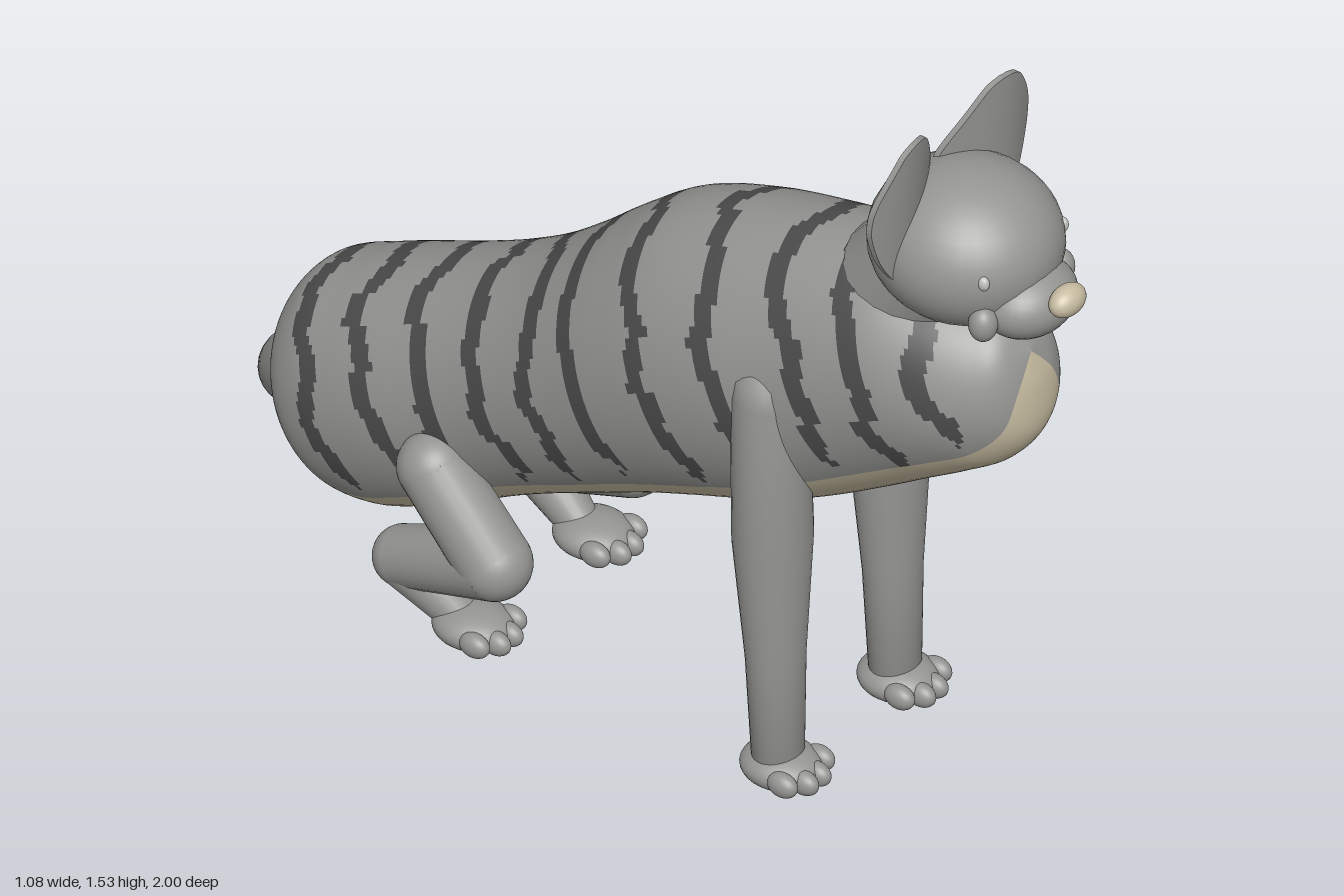
import * as THREE from 'three';

const V = (x, y, z) => new THREE.Vector3(x, y, z);
const CX = -0.27; // the animal's own centre line

const mat = (name, color) => Object.assign(new THREE.MeshStandardMaterial({ color }), { name });

export function createModel() {
  const model = new THREE.Group();
  model.name = 'cat';
  const fur = mat('grey fur', 0x959593);
  const stripe = mat('dark stripe', 0x4b4b4b);
  const cream = mat('cream', 0xc8bda2);
  const eyeMat = mat('pale eye', 0xc0c0bc);

  const add = (parent, name, geo, material) => {
    const m = new THREE.Mesh(geo, material);
    m.name = name;
    parent.add(m);
    return m;
  };
  const ball = (parent, name, pos, radii, material = fur) => {
    const m = add(parent, name, new THREE.SphereGeometry(1, 32, 20), material);
    m.position.copy(pos);
    m.scale.set(...radii);
    return m;
  };
  // Tapered cylinder between two points
  const bone = (parent, name, a, b, ra, rb) => {
    const m = add(parent, name, new THREE.CylinderGeometry(rb, ra, a.distanceTo(b), 24, 1), fur);
    m.position.copy(a).lerp(b, 0.5);
    m.quaternion.setFromUnitVectors(V(0, 1, 0), b.clone().sub(a).normalize());
  };

  add(model, 'body', bodyGeometry(), [fur, stripe, cream]);

  // Neck and head
  bone(model, 'neck', V(CX, 1.09, 0.6), V(CX, 1.23, 0.72), 0.13, 0.13);
  const head = new THREE.Group();
  head.name = 'head';
  model.add(head);
  ball(head, 'skull', V(CX, 1.257, 0.742), [0.175, 0.15, 0.182]);
  ball(head, 'muzzle', V(CX, 1.19, 0.882), [0.1, 0.07, 0.085]);
  ball(head, 'nose', V(CX, 1.22, 0.972), [0.042, 0.03, 0.028], cream);
  for (const s of [-1, 1]) {
    ball(head, 'cheek', V(CX + s * 0.112, 1.185, 0.868), [0.027, 0.035, 0.027]);
    ball(head, 'eye', V(CX + s * 0.115, 1.277, 0.871), [0.01, 0.015, 0.012], eyeMat);
    add(head, 'ear', earGeometry(s), fur);
  }

  for (const s of [-1, 1]) {
    // Front leg: lathed, a little wider across than deep
    const front = new THREE.Group();
    front.name = s > 0 ? 'leftFrontLeg' : 'rightFrontLeg';
    model.add(front);
    const profile = [[0, 0.06], [0.046, 0.08], [0.053, 0.3], [0.071, 0.56], [0.069, 0.75], [0.066, 0.87], [0.059, 0.91], [0.04, 0.935], [0, 0.947]];
    const leg = add(front, 'leg', new THREE.LatheGeometry(profile.map(p => new THREE.Vector2(...p)), 32), fur);
    leg.scale.x = 1.12;
    // Slight lean so the foot sits ahead of the shoulder
    leg.rotation.x = -0.025;
    leg.position.set(CX + s * 0.17, 0, 0.45);
    paw(front, CX + s * 0.17, 0.455);

    // Folded hind leg
    const hind = new THREE.Group();
    hind.name = s > 0 ? 'leftHindLeg' : 'rightHindLeg';
    model.add(hind);
    const hx = CX + s * 0.2, fx = CX + s * 0.175;
    const pts = [V(hx, 0.393, -0.31), V(hx, 0.24, -0.172), V(CX + s * 0.19, 0.155, -0.385), V(fx, 0.068, -0.27)];
    const rad = [0.068, 0.07, 0.058, 0.038];
    pts.forEach((p, i) => {
      ball(hind, 'joint', p, [rad[i], rad[i], rad[i]]);
      if (i) bone(hind, 'limb', pts[i - 1], p, rad[i - 1], rad[i]);
    });
    paw(hind, fx, -0.24);
  }

  // Flat oval foot with four toes
  function paw(parent, x, z) {
    ball(parent, 'paw', V(x, 0.062, z), [0.07, 0.038, 0.078]);
    for (const k of [-1.5, -0.5, 0.5, 1.5]) {
      const inner = Math.abs(k) < 1;
      ball(parent, 'toe', V(x + k * 0.036, inner ? 0.058 : 0.064, z + (inner ? 0.065 : 0.045)), [0.02, 0.024, 0.032]);
    }
  }

  // Tapered tail sweeping round to the left
  const path = new THREE.CatmullRomCurve3([V(-0.26, 0.34, -0.66), V(-0.2, 0.28, -0.77), V(-0.135, 0.17, -0.88), V(-0.05, 0.09, -0.93),
    V(0.035, 0.07, -0.885), V(0.11, 0.073, -0.79), V(0.24, 0.087, -0.61), V(0.37, 0.1, -0.4), V(0.445, 0.1, -0.2), V(0.5, 0.095, 0.015)]);
  const tailGeo = new THREE.TubeGeometry(path, 90, 1, 24);
  const p = tailGeo.attributes.position, v = V(0, 0, 0);
  for (let i = 0; i < p.count; i++) {
    const u = Math.floor(i / 25) / 90, c = path.getPointAt(u);
    v.fromBufferAttribute(p, i).sub(c).multiplyScalar(0.072 - 0.035 * u ** 1.8).add(c);
    p.setXYZ(i, v.x, v.y, v.z);
  }
  add(model, 'tail', tailGeo, fur);
  ball(model, 'tailTip', V(0.5, 0.095, 0.015), [0.037, 0.037, 0.037]);
  return model;
}

// Curved leaf-shaped ear: a thin slab fitted between an inner and an outer edge
function earGeometry(side) {
  const rows = [[1.21, 0.12, 0.14], [1.25, 0.07, 0.175], [1.3, 0.04, 0.205], [1.36, 0.015, 0.224], [1.39, 0.012, 0.226],
    [1.42, 0.025, 0.222], [1.46, 0.05, 0.206], [1.51, 0.083, 0.176], [1.527, 0.1, 0.16], [1.535, 0.12, 0.14]];
  const curve = new THREE.CatmullRomCurve3(rows.map(r => V(...r)), false, 'catmullrom');
  const geo = new THREE.BoxGeometry(1, 1, 0.012, 12, 32, 1), p = geo.attributes.position;
  for (let i = 0; i < p.count; i++) {
    const r = curve.getPoint(p.getY(i) + 0.5);
    const x = THREE.MathUtils.lerp(r.y, r.z, 0.5 + side * p.getX(i));
    const bend = 0.062 * Math.sin(x / 0.15 * Math.PI / 2), lean = (r.x - 1.38) * 0.09;
    p.setXYZ(i, CX + side * x, r.x, 0.655 + bend + lean + p.getZ(i));
  }
  geo.computeVertexNormals();
  return geo;
}

// Body lofted along a sloping axis, faces sorted into fur, stripe and belly
function bodyGeometry() {
  // Each section: distance along axis, underside, back, half width
  const sections = [[-1.257, 0.6, 0.6, 0], [-1.24, 0.52, 0.66, 0.07], [-1.2, 0.44, 0.705, 0.115], [-1.13, 0.395, 0.765, 0.155],
    [-1.04, 0.378, 0.828, 0.185], [-0.94, 0.365, 0.862, 0.2], [-0.83, 0.35, 0.888, 0.214], [-0.68, 0.335, 0.912, 0.234],
    [-0.53, 0.335, 0.919, 0.24], [-0.4, 0.344, 0.892, 0.235], [-0.28, 0.35, 0.857, 0.225], [-0.16, 0.35, 0.829, 0.215],
    [-0.04, 0.349, 0.816, 0.207], [0.08, 0.344, 0.813, 0.205], [0.2, 0.333, 0.814, 0.211], [0.3, 0.327, 0.814, 0.212],
    [0.4, 0.33, 0.808, 0.205], [0.48, 0.362, 0.763, 0.18], [0.525, 0.43, 0.69, 0.12], [0.545, 0.57, 0.57, 0]];
  const mid = new THREE.CatmullRomCurve3(sections.map(([s, a, b]) => V(s, (a + b) / 2, (b - a) / 2)), false, 'catmullrom');
  const wide = new THREE.CatmullRomCurve3(sections.map(([s, , , w]) => V(s, w, 0)), false, 'catmullrom');
  const stripes = [-1.125, -0.99, -0.86, -0.685, -0.505, -0.335, -0.2, -0.065, 0.085, 0.225, 0.36, 0.505];
  const hash = n => { const h = Math.sin(n * 127.1) * 43758.5453; return h - Math.floor(h); };
  const N = 228, M = 88, pos = [], axis = [], faces = [[], [], []];

  for (let i = 0; i <= N; i++) {
    const c = mid.getPoint(i / N), w = Math.max(0, wide.getPoint(i / N).y), r = Math.max(0, c.z);
    axis.push(c.x);
    for (let j = 0; j < M; j++) {
      const a = j / M * Math.PI * 2, t = c.y - r * Math.cos(a);
      pos.push(CX + w * Math.sin(a), -0.419 * c.x + 0.908 * t, -0.908 * c.x - 0.419 * t);
    }
  }
  // Jagged ring stripes that stop short of the belly
  const kind = (s, a) => {
    const fromBelly = Math.min(a, Math.PI * 2 - a);
    if (fromBelly < 0.82) return 2;
    const hit = stripes.some((s0, k) => {
      const g = a / 0.33, f = Math.floor(g), n = k * 31 + f + 1;
      const shift = (THREE.MathUtils.lerp(hash(n), hash(n + 1), g - f) - 0.5) * 0.04 + (hash(n + 500) - 0.5) * 0.026;
      const end = 0.8 + 0.4 * hash(k * 7 + (a > Math.PI ? 3 : 1));
      const half = 0.021 * Math.min(1, (fromBelly - end) / 0.3 + 0.5);
      return Math.abs(s - s0 - shift) < half;
    });
    return hit ? 1 : 0;
  };
  for (let i = 0; i < N; i++) for (let j = 0; j < M; j++) {
    const k = (j + 1) % M, a = i * M + j, b = a + M, c = i * M + k, d = c + M;
    faces[kind((axis[i] + axis[i + 1]) / 2, (j + 0.5) / M * Math.PI * 2)].push(a, b, c, c, b, d);
  }
  const geo = new THREE.BufferGeometry();
  geo.setAttribute('position', new THREE.Float32BufferAttribute(pos, 3));
  geo.setIndex(faces.flat());
  let start = 0;
  faces.forEach((f, k) => { geo.addGroup(start, f.length, k); start += f.length; });
  geo.computeVertexNormals();
  return geo;
}
